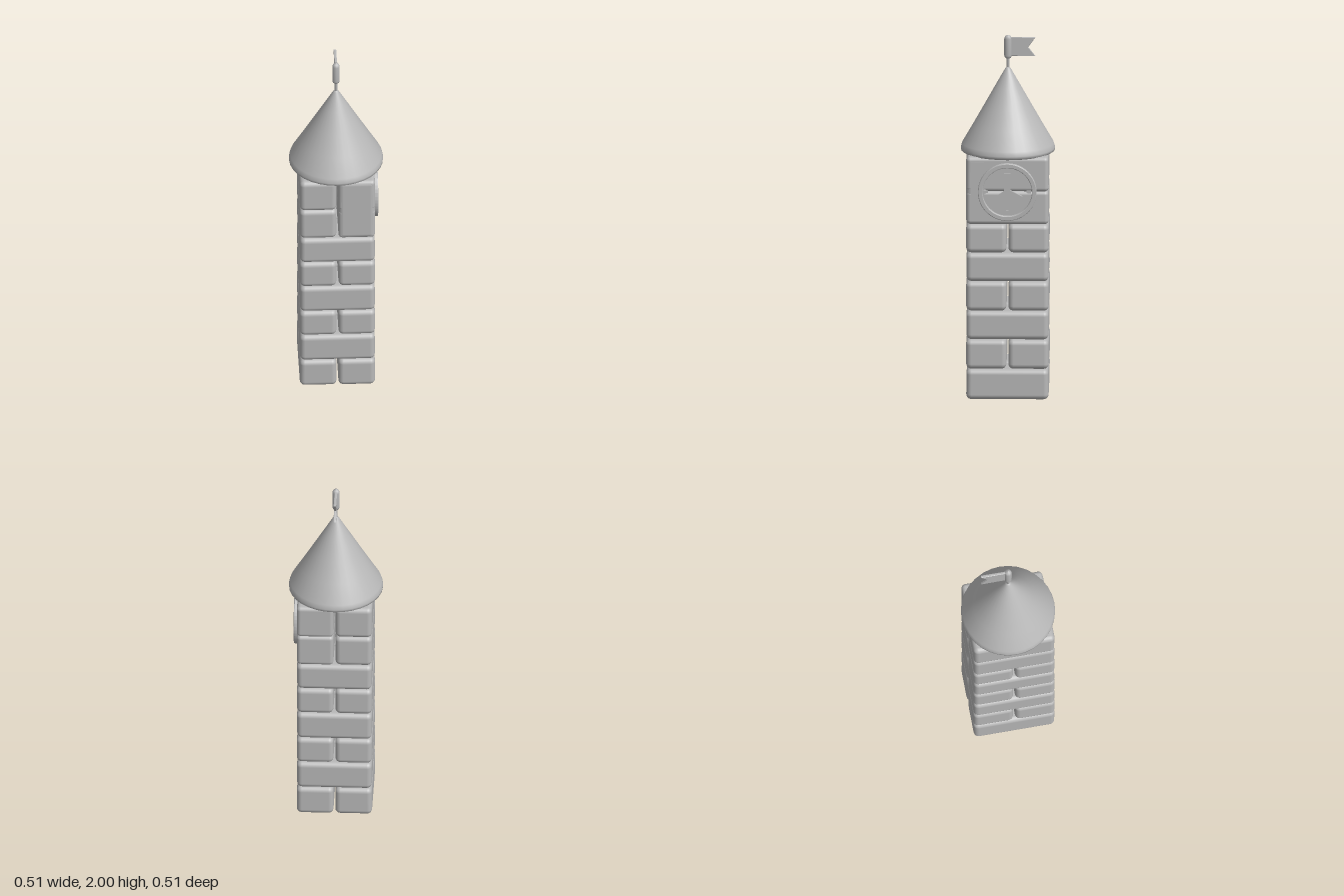
import * as THREE from 'three';
import { RoundedBoxGeometry } from 'three/addons/geometries/RoundedBoxGeometry.js';

export function createModel() {
  const tower = new THREE.Group();
  tower.name = 'clockTower';
  const stone = new THREE.MeshStandardMaterial({ color: 0xb8b8b8 });
  stone.name = 'stoneGrey';

  let seed = 7;
  const jitter = (a) => {
    seed = (seed * 16807) % 2147483647;
    return (seed / 2147483647 - 0.5) * 2 * a;
  };
  const add = (parent, name, geometry, x = 0, y = 0, z = 0) => {
    const mesh = new THREE.Mesh(geometry, stone);
    mesh.name = name;
    mesh.position.set(x, y, z);
    parent.add(mesh);
    return mesh;
  };

  // Rounded brick between two corners, with slightly uneven sides
  const bricks = new THREE.Group();
  bricks.name = 'bricks';
  tower.add(bricks);
  const brick = (name, x0, x1, y0, y1, z0, z1, r = 0.028) => {
    const g = new RoundedBoxGeometry(x1 - x0, y1 - y0, z1 - z0, 3, r);
    const p = g.attributes.position;
    const a = jitter(0.012), b = jitter(0.012);
    for (let i = 0; i < p.count; i++) {
      p.setX(i, p.getX(i) * (0.99 + a * p.getY(i) / (y1 - y0)));
      p.setZ(i, p.getZ(i) * (0.99 + b * p.getY(i) / (y1 - y0)));
    }
    add(bricks, name, g, (x0 + x1) / 2, (y0 + y1) / 2, (z0 + z1) / 2);
  };

  // Six courses of two bricks, alternating in direction
  const W = 0.206, D = 0.226, gap = 0.004;
  const levels = [0.005, 0.175, 0.34, 0.5, 0.665, 0.825, 0.985];
  for (let i = 0; i < 6; i++) {
    const y0 = levels[i], y1 = levels[i + 1] - 0.002;
    for (const s of [-1, 1]) {
      if (i % 2 === 0) brick('brickAlongDepth', s < 0 ? -W : gap, s < 0 ? -gap : W, y0, y1, -D, D);
      else brick('brickAcrossWidth', -W, W, y0, y1, s < 0 ? -D : gap, s < 0 ? -gap : D);
    }
  }

  // Clock storey: stacked bricks, with a tall corner block at the front
  for (const [y0, y1] of [[0.985, 1.172], [1.168, 1.36]]) {
    brick('upperBrickRight', -W, -gap, y0, y1, -D, D);
    brick('upperBrickLeft', gap, W, y0, y1, -D, D, 0.022);
  }
  brick('tallCornerBlock', gap, W, 0.985, 1.36, 0.1, D);

  // Conical roof with a rolled eave
  const roof = [[0, 1.375], [0.2, 1.36], [0.245, 1.355], [0.256, 1.362], [0.257, 1.375],
    [0.25, 1.4], [0.192, 1.5], [0.132, 1.606], [0.072, 1.713], [0.017, 1.81], [0.008, 1.821], [0, 1.823]]
    .map(([r, y]) => new THREE.Vector2(r, y));
  add(tower, 'roof', new THREE.LatheGeometry(roof, 32));

  // Flagpole with a thicker rounded head
  const pole = [[0, 1.8], [0.009, 1.8], [0.009, 1.868], [0.016, 1.872], [0.021, 1.885],
    [0.021, 1.978], [0.015, 1.993], [0, 2]].map(([r, y]) => new THREE.Vector2(r, y));
  add(tower, 'flagpole', new THREE.LatheGeometry(pole, 10));

  // Swallow-tailed flag flying backwards
  const shapeOf = (pts) => new THREE.Shape(pts.map(([x, y]) => new THREE.Vector2(x, y)));
  const flag = new THREE.ExtrudeGeometry(
    shapeOf([[0, 1.885], [0.147, 1.883], [0.108, 1.932], [0.147, 1.985], [0, 1.985]]),
    { depth: 0.008, bevelEnabled: true, bevelThickness: 0.003, bevelSize: 0.002, bevelSegments: 1 });
  flag.translate(0, 0, -0.004);
  flag.rotateY(Math.PI / 2);
  add(tower, 'flag', flag);

  // Clock on the left wall, drawn in its own plane and turned outwards
  const clock = new THREE.Group();
  clock.name = 'clock';
  clock.position.set(0.2, 1.17, 0);
  clock.rotation.y = Math.PI / 2;
  tower.add(clock);

  const ring = new THREE.Shape().absarc(0, 0, 0.156, 0, Math.PI * 2);
  ring.holes.push(new THREE.Path().absarc(0, 0, 0.138, 0, Math.PI * 2, true));
  add(clock, 'clockRim', new THREE.ExtrudeGeometry(ring, {
    depth: 0.02, bevelThickness: 0.005, bevelSize: 0.004, bevelSegments: 2, curveSegments: 24 }));

  // Hands, with the angle measured clockwise from twelve
  const hand = (name, degrees, start, length, width, depth) => {
    const g = new THREE.BoxGeometry(width, length, depth);
    g.translate(0, start + length / 2, depth / 2);
    add(clock, name, g).rotation.z = -THREE.MathUtils.degToRad(degrees);
  };
  hand('minuteHand', 0, -0.012, 0.115, 0.034, 0.018);
  hand('hourHand', 117, -0.01, 0.095, 0.032, 0.018);
  hand('handTail', 238, -0.01, 0.07, 0.024, 0.015);
  for (let i = 0; i < 4; i++) hand('hourMark', i * 90, 0.105, 0.024, 0.012, 0.014);
  const hub = new THREE.CylinderGeometry(0.02, 0.02, 0.019, 12);
  hub.rotateX(Math.PI / 2);
  add(clock, 'clockHub', hub, 0, 0, 0.0095);

  return tower;
}
